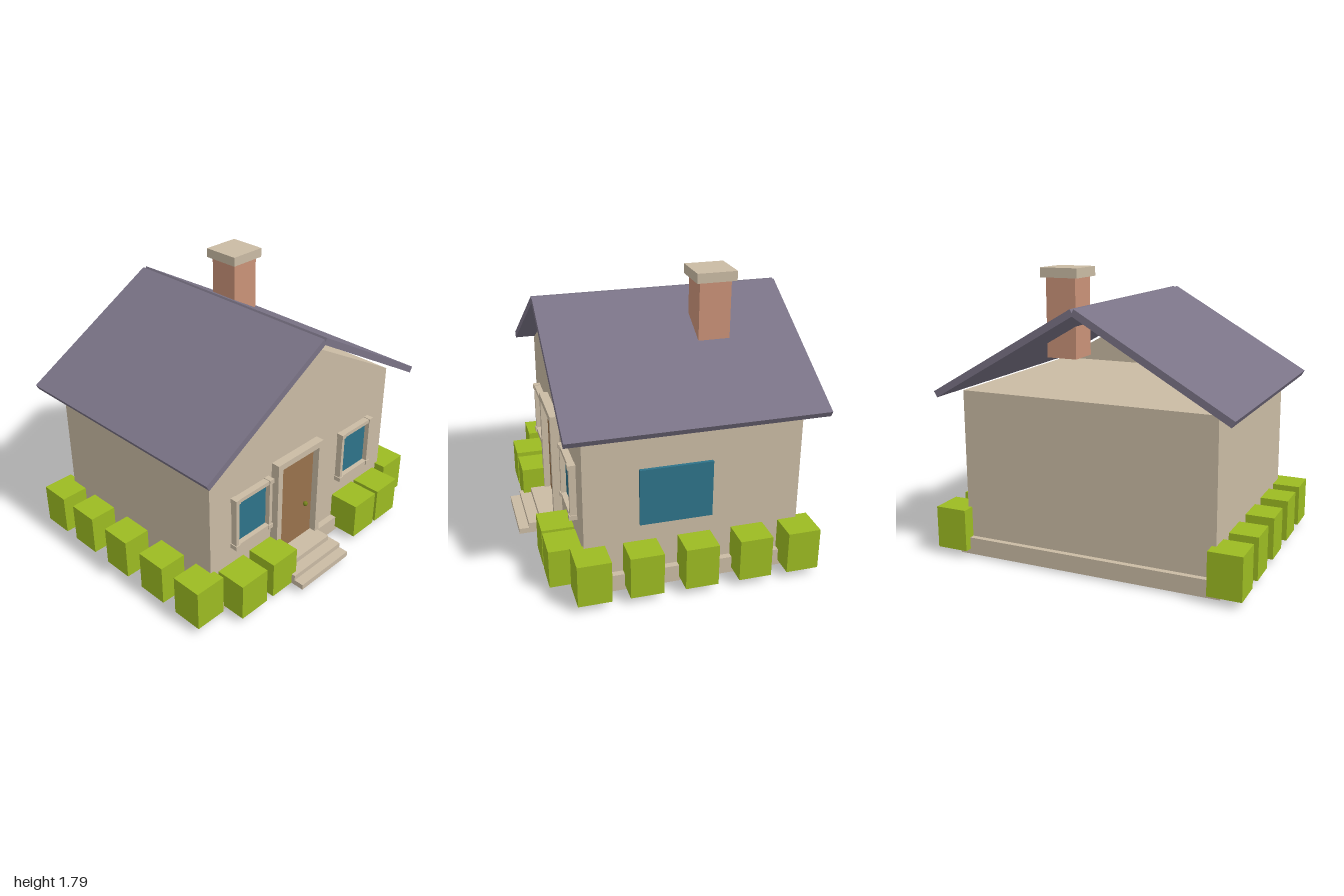
import * as THREE from 'three';

const material = (name, color) => {
  const m = new THREE.MeshStandardMaterial({ color });
  m.name = name;
  return m;
};

export function createModel() {
  const house = new THREE.Group();
  house.name = 'house';

  const plaster = material('plaster', 0xcabba4);
  const slate = material('slate', 0x7a7386);
  const brick = material('brick', 0xca9278);
  const leaf = material('leaf', 0x9cbb22);
  const wood = material('wood', 0x98724c);
  const glass = material('glass', 0x2e7389);
  const brass = material('brass', 0x74801c);

  const add = (name, geometry, mat) => {
    const mesh = new THREE.Mesh(geometry, mat);
    mesh.name = name;
    house.add(mesh);
    return mesh;
  };

  // Box given by its extents along each axis
  const box = (name, mat, [x0, x1], [y0, y1], [z0, z1]) => {
    const mesh = add(name, new THREE.BoxGeometry(x1 - x0, y1 - y0, z1 - z0), mat);
    mesh.position.set((x0 + x1) / 2, (y0 + y1) / 2, (z0 + z1) / 2);
    return mesh;
  };

  // Outline in x and y, extruded from z0 to z1
  const prism = (name, mat, points, z0, z1) => {
    const shape = new THREE.Shape(points.map(([x, y]) => new THREE.Vector2(x, y)));
    const geometry = new THREE.ExtrudeGeometry(shape, { depth: z1 - z0, bevelEnabled: false });
    add(name, geometry, mat).position.z = z0;
  };

  // Body: foundation, walls and the front gable (the back is open under the roof)
  box('foundation', plaster, [-0.86, 0.86], [0.012, 0.12], [-0.79, 0.625]);
  box('walls', plaster, [-0.82, 0.82], [0.12, 1.06], [-0.755, 0.583]);
  prism('frontGable', plaster, [[-0.82, 1.06], [0.82, 1.06], [0, 1.517]], 0.543, 0.583);

  // Roof: two sloping slabs meeting at a small ridge notch
  for (const s of [-1, 1]) {
    const slab = [[0.948, 1.066], [0.012, 1.605], [-0.008, 1.569], [0.927, 1.03]];
    prism(s < 0 ? 'roofRight' : 'roofLeft', slate, slab.map(([x, y]) => [s * x, y]), -0.875, 0.7);
  }

  // Chimney
  box('chimney', brick, [0.21, 0.41], [1.24, 1.74], [-0.43, -0.232]);
  box('chimneyCap', plaster, [0.185, 0.435], [1.735, 1.795], [-0.456, -0.207]);

  // Door with frame and knob
  box('door', wood, [-0.253, 0.072], [0.12, 0.797], [0.58, 0.598]);
  box('doorFrameRight', plaster, [-0.3, -0.26], [0, 0.845], [0.58, 0.64]);
  box('doorFrameLeft', plaster, [0.077, 0.115], [0, 0.845], [0.58, 0.64]);
  box('doorFrameTop', plaster, [-0.26, 0.077], [0.803, 0.845], [0.58, 0.64]);
  const knob = add('doorKnob', new THREE.SphereGeometry(0.016, 16, 12), brass);
  knob.position.set(0.003, 0.395, 0.61);

  // Front steps
  box('stepBottom', plaster, [-0.315, 0.13], [0.04, 0.076], [0.6, 0.875]);
  box('stepMiddle', plaster, [-0.315, 0.13], [0.076, 0.11], [0.6, 0.81]);
  box('stepTop', plaster, [-0.28, 0.102], [0.11, 0.145], [0.58, 0.735]);

  // Front windows: glass, four bars and corner blocks
  for (const cx of [-0.491, 0.487]) {
    box('frontWindowGlass', glass, [cx - 0.135, cx + 0.135], [0.435, 0.747], [0.583, 0.592]);
    for (const s of [-1, 1]) {
      const bx = cx + s * 0.143;
      const by = 0.589 + s * 0.165;
      box('windowSideBar', plaster, [bx - 0.012, bx + 0.012], [0.42, 0.758], [0.58, 0.625]);
      box('windowCrossBar', plaster, [cx - 0.143, cx + 0.143], [by - 0.013, by + 0.013], [0.58, 0.625]);
      for (const t of [-1, 1]) {
        const y = 0.589 + t * 0.167;
        box('windowCorner', plaster, [bx - 0.018, bx + 0.018], [y - 0.015, y + 0.015], [0.58, 0.632]);
      }
    }
  }

  // Side window, on the left wall only
  box('sideWindow', glass, [0.81, 0.84], [0.427, 0.787], [-0.198, 0.248]);

  // Hedge blocks along both sides and the front
  for (const z of [-0.735, -0.428, -0.091, 0.246, 0.559]) {
    box('sideBushLeft', leaf, [0.793, 1], [0.045, 0.312], [z - 0.102, z + 0.102]);
    box('sideBushRight', leaf, [-1, -0.793], [0.045, 0.312], [z - 0.102, z + 0.102]);
  }
  for (const x of [-0.65, -0.381, 0.422, 0.66]) {
    box('frontBush', leaf, [x - 0.106, x + 0.106], [0.042, 0.287], [0.575, 0.785]);
  }

  return house;
}
